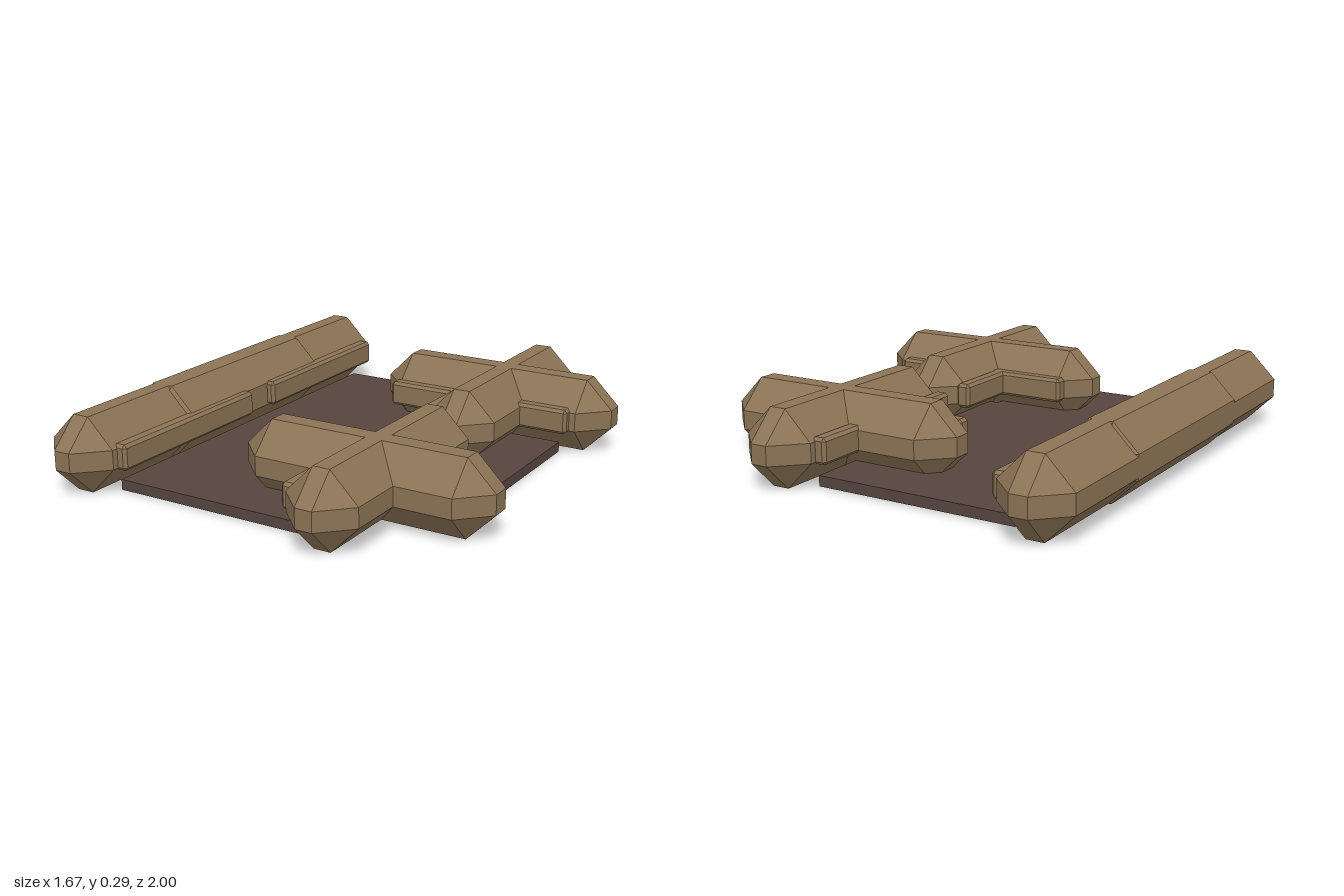
import * as THREE from 'three';
import { ConvexGeometry } from 'three/addons/geometries/ConvexGeometry.js';

const wood = new THREE.MeshStandardMaterial({ color: 0x8b7355 });
wood.name = 'wood';
const darkFloor = new THREE.MeshStandardMaterial({ color: 0x55443d });
darkFloor.name = 'darkFloor';

// Box with every edge and corner cut off by c, given by its [min, max] ranges
function chamferBox(name, xs, ys, zs, c) {
  const ranges = [xs, ys, zs];
  const mid = ranges.map(([a, b]) => (a + b) / 2);
  const half = ranges.map(([a, b]) => (b - a) / 2);
  const points = [];
  for (let axis = 0; axis < 3; axis++) {
    for (const i of [-1, 1]) for (const j of [-1, 1]) for (const k of [-1, 1]) {
      const s = [i, j, k];
      points.push(new THREE.Vector3(...s.map((v, n) => v * (n === axis ? half[n] : half[n] - c))));
    }
  }
  const mesh = new THREE.Mesh(new ConvexGeometry(points), wood);
  mesh.name = name;
  mesh.position.set(...mid);
  return mesh;
}

const logY = [0, 0.295];
const ledgeY = [0.1, 0.2];
const range = (s, a, b) => (s > 0 ? [a, b] : [-b, -a]);

// Two crossed logs with ledges along their inner sides
function crossedLogs(side) {
  const group = new THREE.Group();
  group.name = side > 0 ? 'frontCrossedLogs' : 'backCrossedLogs';
  group.add(
    chamferBox('lengthwiseLog', [0.215, 0.502], logY, range(side, 0, 1), 0.11),
    chamferBox('crosswiseLog', [-0.18, 0.835], logY, range(side, 0.378, 0.67), 0.11),
    chamferBox('lengthwiseLedge', [0.175, 0.235], ledgeY, range(side, 0.07, 0.865), 0.012),
    chamferBox('crosswiseLedge', [-0.095, 0.7], ledgeY, range(side, 0.345, 0.405), 0.012)
  );
  return group;
}

export function createModel() {
  const model = new THREE.Group();
  model.name = 'logEnclosure';

  // Long log wall with a slightly thicker middle
  const wall = new THREE.Group();
  wall.name = 'longWall';
  wall.add(
    chamferBox('longLog', [-0.835, -0.546], logY, [-1, 1], 0.11),
    chamferBox('middleLog', [-0.835, -0.542], logY, [-0.54, 0.53], 0.1)
  );
  for (const s of [-1, 1]) {
    wall.add(chamferBox('wallLedge', [-0.57, -0.51], ledgeY, range(s, 0.07, 0.865), 0.012));
    model.add(crossedLogs(s));
  }
  model.add(wall);

  // Floor slab with two notched corners
  const outline = [
    [-0.575, -0.82], [0.24, -0.82], [0.24, -0.41], [0.65, -0.41],
    [0.65, 0.41], [0.24, 0.41], [0.24, 0.82], [-0.575, 0.82],
  ].map(([x, z]) => new THREE.Vector2(x, z));
  const slab = new THREE.ExtrudeGeometry(new THREE.Shape(outline), { depth: 0.041, bevelEnabled: false });
  slab.rotateX(-Math.PI / 2);
  const floor = new THREE.Mesh(slab, darkFloor);
  floor.name = 'floor';
  floor.position.y = 0.004;
  model.add(floor);

  return model;
}
